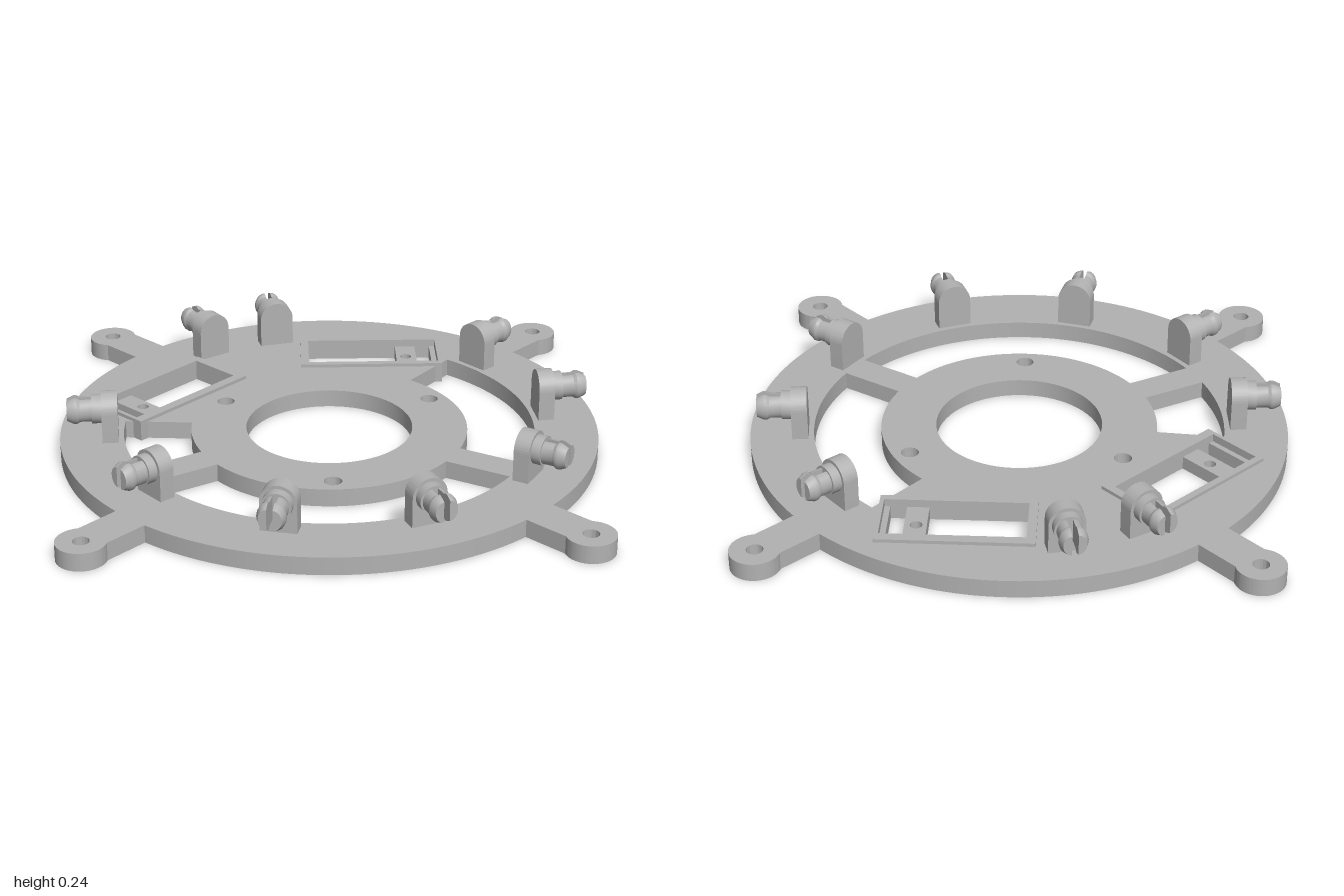
import * as THREE from 'three';
import { toCreasedNormals } from 'three/addons/utils/BufferGeometryUtils.js';

const grey = new THREE.MeshStandardMaterial({ color: 0xb2b2b2 });
grey.name = 'plastic grey';

const PLATE = 0.067, BORE = 0.028, RIM = 0.08;
const rad = THREE.MathUtils.degToRad;

function mesh(geometry, name) {
  const m = new THREE.Mesh(toCreasedNormals(geometry, 0.5), grey);
  m.name = name;
  return m;
}

// extrude a plan shape (x, -z) upward from y0 to y1
function slab(shape, y0, y1, name) {
  const g = new THREE.ExtrudeGeometry(shape, { depth: y1 - y0, bevelEnabled: false, curveSegments: 40 });
  g.rotateX(-Math.PI / 2);
  g.translate(0, y0, 0);
  return mesh(g, name);
}

const circle = (x, y, r) => new THREE.Path().absarc(x, y, r, 0, Math.PI * 2, false);

function rect(Type, x0, x1, y0, y1) {
  return new Type([[x0, y0], [x1, y0], [x1, y1], [x0, y1]].map(p => new THREE.Vector2(...p)));
}

// ring-sector opening; each end is given as [inner angle, outer angle]
function sector(start, end) {
  const p = new THREE.Path();
  p.absarc(0, 0, 0.765, rad(start[1]), rad(end[1]), false);
  p.absarc(0, 0, 0.515, rad(end[0]), rad(start[0]), true);
  p.closePath();
  return p;
}

// servo frames: centre in plan and turn; the small opening is at local +x
const frames = [
  { x: 0.184, z: -0.663, turn: 0 },
  { x: -0.607, z: -0.324, turn: rad(225.7) },
];
const INNER = [-0.248, 0.265, -0.11, 0.099];

function frameOpening({ x, z, turn }) {
  const [x0, x1, y0, y1] = INNER, c = Math.cos(turn), s = Math.sin(turn);
  return new THREE.Path([[x0, y0], [x1, y0], [x1, y1], [x0, y1]].map(
    ([u, v]) => new THREE.Vector2(x + u * c - v * s, -z + u * s + v * c)));
}

// ring plate outline with four ears, and all openings
function plateShape(holeRadius) {
  const s = new THREE.Shape(), half = 0.074, earR = 0.09, earD = 1.218;
  const gap = Math.asin(half), sweep = Math.PI - Math.asin(half / earR);
  const screws = [];
  for (let i = 0; i < 4; i++) {
    const a = Math.PI / 4 + i * Math.PI / 2;
    const ex = earD * Math.cos(a), ey = earD * Math.sin(a);
    s.absarc(ex, ey, earR, a - sweep, a + sweep, false);
    s.absarc(0, 0, 1, a + gap, a + Math.PI / 2 - gap, false);
    screws.push(circle(ex, ey, holeRadius));
  }
  s.closePath();
  for (const a of [30, 150, 270]) {
    screws.push(circle(0.45 * Math.cos(rad(a)), 0.45 * Math.sin(rad(a)), holeRadius + 0.003));
  }
  s.holes.push(
    circle(0, 0, 0.31),
    sector([-30 + 6.7, -30 + 4.5], [50.3, 50.3]),
    sector([175.5, 175.5], [210 - 6.7, 210 - 4.5]),
    sector([210 + 6.7, 210 + 4.5], [330 - 6.7, 330 - 4.5]),
    ...frames.map(frameOpening), ...screws);
  return s;
}

// raised rim with a recessed bridge between the two openings
function servoFrame(f) {
  const g = new THREE.Group();
  g.name = 'servoFrame';
  const rim = rect(THREE.Shape, -0.28, 0.28, -0.136, 0.136);
  rim.holes.push(rect(THREE.Path, ...INNER));
  const bridge = rect(THREE.Shape, 0.105, 0.185, INNER[2], INNER[3]);
  bridge.holes.push(circle(0.143, 0, 0.022));
  const lip = rect(THREE.Shape, 0.244, 0.265, INNER[2], INNER[3]);
  g.add(slab(rim, 0, RIM, 'frameRim'), slab(bridge, 0, 0.05, 'frameBridge'), slab(lip, 0, 0.05, 'frameLip'));
  g.position.set(f.x, 0, f.z);
  g.rotation.y = f.turn;
  return g;
}

// upright arch with a collar and a split snap pin pointing along local +x
function snapMount() {
  const g = new THREE.Group();
  g.name = 'snapMount';
  const axisY = 0.178, w = 0.066;

  const arch = new THREE.Shape();
  arch.moveTo(-w, 0.06);
  arch.lineTo(w, 0.06);
  arch.absarc(0, axisY, w, 0, Math.PI, false);
  arch.closePath();
  const archGeo = new THREE.ExtrudeGeometry(arch, { depth: 0.06, bevelEnabled: false, curveSegments: 20 });
  archGeo.rotateY(Math.PI / 2);
  archGeo.translate(0.784, 0, 0);
  g.add(mesh(archGeo, 'mountArch'));

  const collar = new THREE.CylinderGeometry(0.054, 0.054, 0.04, 28);
  collar.rotateZ(-Math.PI / 2);
  collar.translate(0.859, axisY, 0);
  g.add(mesh(collar, 'pinCollar'));

  // half pin: lathe half plus its flat slit face
  const profile = [[0.043, 0], [0.043, 0.045], [0.05, 0.056], [0.05, 0.068], [0.038, 0.093], [0, 0.093]]
    .map(p => new THREE.Vector2(...p));
  const outline = [...profile, ...profile.slice(0, -1).reverse().map(p => new THREE.Vector2(-p.x, p.y))];
  for (const turn of [0, Math.PI]) {
    const shell = new THREE.LatheGeometry(profile, 14, -Math.PI / 2, Math.PI);
    const face = new THREE.ShapeGeometry(new THREE.Shape(outline)).rotateY(Math.PI);
    for (const [geo, name] of [[shell, 'pinHalf'], [face, 'pinSlitFace']]) {
      geo.scale(1, 1, 0.8);
      geo.translate(0, 0, 0.011);
      geo.rotateY(turn);
      geo.rotateZ(-Math.PI / 2);
      geo.translate(0.877, axisY, 0);
      g.add(mesh(geo, name));
    }
  }
  return g;
}

export function createModel() {
  const model = new THREE.Group();
  model.name = 'ringPlateAssembly';

  // the screw holes are wider in the bottom layer
  model.add(slab(plateShape(0.05), 0, BORE, 'plateBottom'));
  model.add(slab(plateShape(0.03), BORE, PLATE, 'plateTop'));

  for (const f of frames) model.add(servoFrame(f));

  // mounts around the ring, angles from +x toward +z
  for (const a of [176, 140, 103.5, 67.8, 31.2, -6.3, -42.3, -104, -124]) {
    const m = snapMount();
    m.rotation.y = -rad(a);
    model.add(m);
  }
  return model;
}
